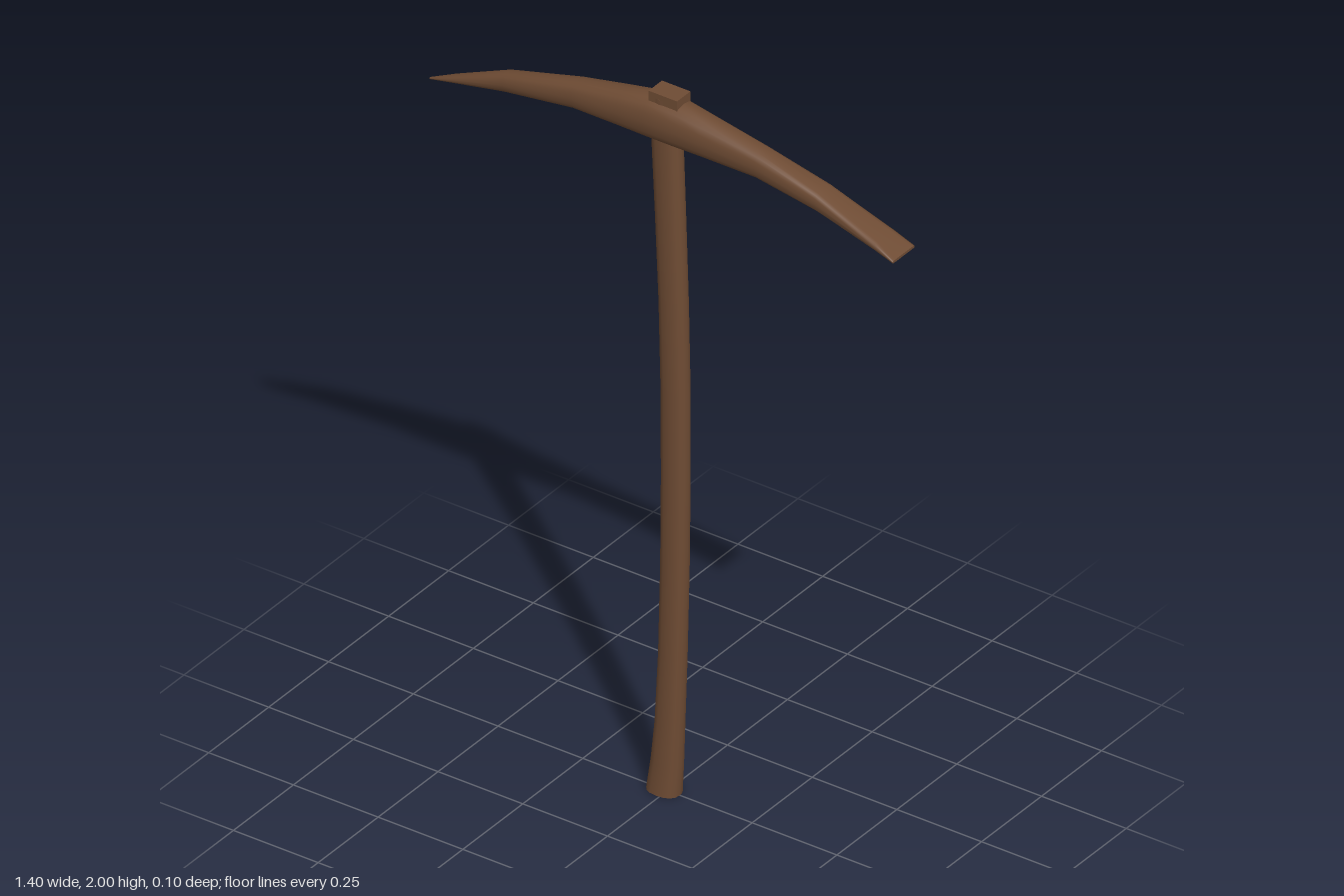
import * as THREE from 'three';

const SIDES = 16;

// Rounded cross-section point; power 1 is an ellipse, lower is boxier
function section(angle, power) {
  const round = (v) => Math.sign(v) * Math.pow(Math.abs(v) < 1e-6 ? 0 : Math.abs(v), power);
  return [round(Math.cos(angle)), round(Math.sin(angle))];
}

// Skin a list of rings (each ring counter to its axis) and close both ends with flat caps
function loft(rings) {
  const pos = [];
  const index = [];
  rings.forEach((ring) => ring.forEach((p) => pos.push(...p)));
  for (let r = 0; r < rings.length - 1; r++) {
    for (let i = 0; i < SIDES; i++) {
      const a = r * SIDES + i;
      const b = r * SIDES + ((i + 1) % SIDES);
      index.push(a, a + SIDES, b, b, a + SIDES, b + SIDES);
    }
  }
  [[rings[0], false], [rings[rings.length - 1], true]].forEach(([ring, flip]) => {
    const start = pos.length / 3;
    ring.forEach((p) => pos.push(...p));
    for (let i = 1; i < SIDES - 1; i++) {
      if (flip) index.push(start, start + i + 1, start + i);
      else index.push(start, start + i, start + i + 1);
    }
  });
  const geometry = new THREE.BufferGeometry();
  geometry.setAttribute('position', new THREE.Float32BufferAttribute(pos, 3));
  geometry.setIndex(index);
  geometry.computeVertexNormals();
  return geometry;
}

const angles = Array.from({ length: SIDES }, (_, i) => (i / SIDES) * Math.PI * 2);

export function createModel() {
  const group = new THREE.Group();
  const brown = new THREE.MeshStandardMaterial({ color: 0x6f4c34 });
  brown.name = 'brown';

  const add = (name, geometry) => {
    const mesh = new THREE.Mesh(geometry, brown);
    mesh.name = name;
    group.add(mesh);
    return mesh;
  };

  // Gently bowed handle: y, left edge, right edge, half depth
  const handle = [
    [0, -0.055, 0.037, 0.035],
    [0.09, -0.042, 0.042, 0.032],
    [0.2, -0.031, 0.046, 0.03],
    [0.4, -0.021, 0.053, 0.029],
    [0.65, -0.015, 0.059, 0.029],
    [0.9, -0.013, 0.062, 0.029],
    [1.15, -0.014, 0.062, 0.029],
    [1.4, -0.02, 0.057, 0.029],
    [1.65, -0.031, 0.049, 0.029],
    [1.85, -0.041, 0.042, 0.029],
    [1.985, -0.048, 0.037, 0.029],
  ];
  add('handle', loft(handle.map(([y, x0, x1, d]) => angles.map((t) => {
    const [c, s] = section(t, 0.85);
    return [(x0 + x1) / 2 + (c * (x1 - x0)) / 2, y, s * d];
  }))));

  // Curved head, point on one end and flat blade on the other:
  // x, bottom, top, half depth, section power
  const head = [
    [-0.7, 1.775, 1.78, 0.004, 1],
    [-0.63, 1.794, 1.812, 0.017, 0.9],
    [-0.47, 1.827, 1.882, 0.027, 0.85],
    [-0.26, 1.859, 1.937, 0.036, 0.8],
    [-0.12, 1.86, 1.965, 0.044, 0.8],
    [-0.04, 1.86, 1.98, 0.049, 0.8],
    [0.04, 1.86, 1.98, 0.049, 0.8],
    [0.12, 1.86, 1.966, 0.044, 0.8],
    [0.28, 1.86, 1.936, 0.036, 0.75],
    [0.46, 1.838, 1.888, 0.038, 0.55],
    [0.64, 1.798, 1.818, 0.043, 0.4],
    [0.697, 1.784, 1.791, 0.046, 0.3],
  ];
  add('head', loft(head.map(([x, y0, y1, d, power]) => angles.map((t) => {
    const [c, s] = section(t, power);
    return [x, (y0 + y1) / 2 + (c * (y1 - y0)) / 2, -s * d];
  }))));

  // Wedge block closing the eye on top
  add('topWedge', new THREE.BoxGeometry(0.084, 0.05, 0.056)).position.set(0.006, 1.975, 0);

  return group;
}
